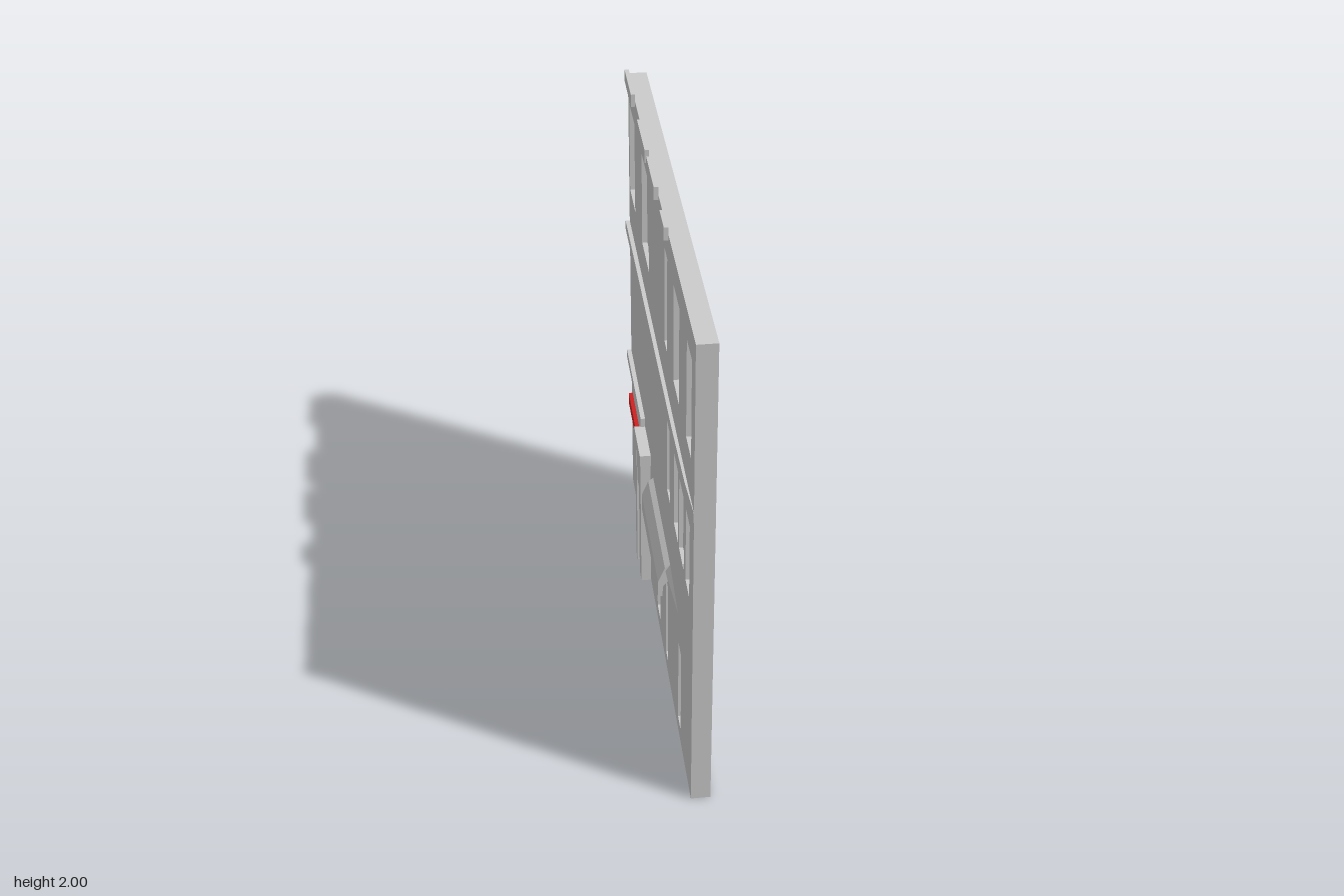
import * as THREE from 'three';
import { ConvexGeometry } from 'three/addons/geometries/ConvexGeometry.js';

const GREY = 0xcccccc, RED = 0xcc2222, BLUE = 0x6688cc;
const FACE = -0.031;  // local x of the wall face; the facade looks towards -x
const LAYER = 0.05;   // thickness of the pierced front layer
const END = 0.971;    // half length of the wall

export function createModel() {
  const model = new THREE.Group();
  const wall = new THREE.Group();
  wall.name = 'facade';
  wall.rotation.y = 0.0877;
  model.add(wall);

  const add = (name, geometry, color = GREY) => {
    const mesh = new THREE.Mesh(geometry, new THREE.MeshStandardMaterial({ color, flatShading: true }));
    mesh.name = name;
    wall.add(mesh);
    return mesh;
  };
  // box from position s along the wall, height y and distance d out of the face
  const block = (name, s0, s1, y0, y1, d0, d1, color) =>
    add(name, new THREE.BoxGeometry(d1 - d0, y1 - y0, s1 - s0), color)
      .position.set(FACE - (d0 + d1) / 2, (y0 + y1) / 2, (s0 + s1) / 2);
  const hull = (name, points) =>
    add(name, new ConvexGeometry(points.map(([s, y, d]) => new THREE.Vector3(FACE - d, y, s))));

  // openings: [s0, s1, y0, y1, recess depth, pane colour]
  const upper = [[-0.936, -0.753], [-0.51, -0.29], [0.183, 0.265], [0.434, 0.583], [0.767, 0.889]]
    .map(([a, b]) => [a, b, 1.48, 1.86, 0.02, GREY]);
  const middle = [[0.265, 0.346, 0.008], [0.462, 0.577, 0.015], [0.604, 0.733, 0.015], [0.78, 0.875, 0.015]]
    .map(([a, b, depth]) => [a, b, 0.88, 1.19, depth, GREY]);
  const lower = [[-0.67, -0.563, 0.048, RED], [-0.04, 0.05, 0.027, BLUE], [0.24, 0.29, 0.02, RED], [0.604, 0.68, 0.035, GREY]]
    .map(([a, b, depth, color]) => [a, b, 0.06, 0.435, depth, color]);
  const openings = [...upper, ...middle, ...lower];

  // pierced front layer and solid backing
  const rect = (path, a, b, c, d) => path.moveTo(a, c).lineTo(b, c).lineTo(b, d).lineTo(a, d).closePath();
  const outline = rect(new THREE.Shape(), -END, END, 0, 1.97);
  for (const [a, b, c, d] of openings) outline.holes.push(rect(new THREE.Path(), a, b, c, d));
  const front = new THREE.ExtrudeGeometry(outline, { depth: LAYER, bevelEnabled: false });
  front.rotateY(-Math.PI / 2).translate(FACE + LAYER, 0, 0);
  add('wallFront', front);
  block('wallBack', -END, END, 0, 1.97, -0.072, -LAYER);

  // panes set into the openings
  for (const [a, b, c, d, depth, color] of openings) block('windowPane', a, b, c, d, -LAYER, -depth, color);

  // parapet blocks along the top
  for (const [a, b] of [[-0.94, -0.717], [-0.508, -0.262], [-0.212, 0.015], [0.178, 0.298]])
    block('parapetBlock', a, b, 1.95, 2, 0, 0.016);

  // long ledge, thinning out towards the front end
  const ledge = [];
  for (const y of [1.28, 1.32])
    for (const [s, d] of [[-0.972, 0], [-0.972, 0.017], [0.5, 0.013], [0.8, 0.009], [0.97, 0.001], [0.97, 0]])
      ledge.push([s, y, d]);
  hull('longLedge', ledge);

  // short ledge and sign band beside the portal
  block('shortLedge', -0.975, -0.46, 0.65, 0.69, 0, 0.018);
  block('signBand', -0.94, -0.46, 0.44, 0.49, 0, 0.017, RED);

  // portal: two pillars, lintel and cap
  block('portalPillar', -0.46, -0.41, 0, 0.6, 0, 0.041);
  block('portalPillar', -0.33, -0.27, 0, 0.6, 0, 0.041);
  block('portalLintel', -0.41, -0.33, 0.43, 0.6, 0, 0.039);
  block('portalCap', -0.465, -0.26, 0.6, 0.65, 0, 0.044);

  // awning with a hanging front edge, and a tail that fades into the wall
  const profile = [[0, 0.53], [0.026, 0.5], [0.03, 0.45], [0.046, 0.45], [0.046, 0.52], [0.02, 0.585], [0, 0.6]];
  const section = new THREE.Shape(profile.map(([d, y]) => new THREE.Vector2(-d, y)));
  const awning = new THREE.ExtrudeGeometry(section, { depth: 0.54, bevelEnabled: false });
  add('awning', awning.translate(FACE, 0, -0.18));
  hull('awningTail', [[0.36, 0.52, 0], [0.36, 0.6, 0], [0.36, 0.57, 0.018], [0.59, 0.53, 0], [0.59, 0.56, 0]]);

  return model;
}
